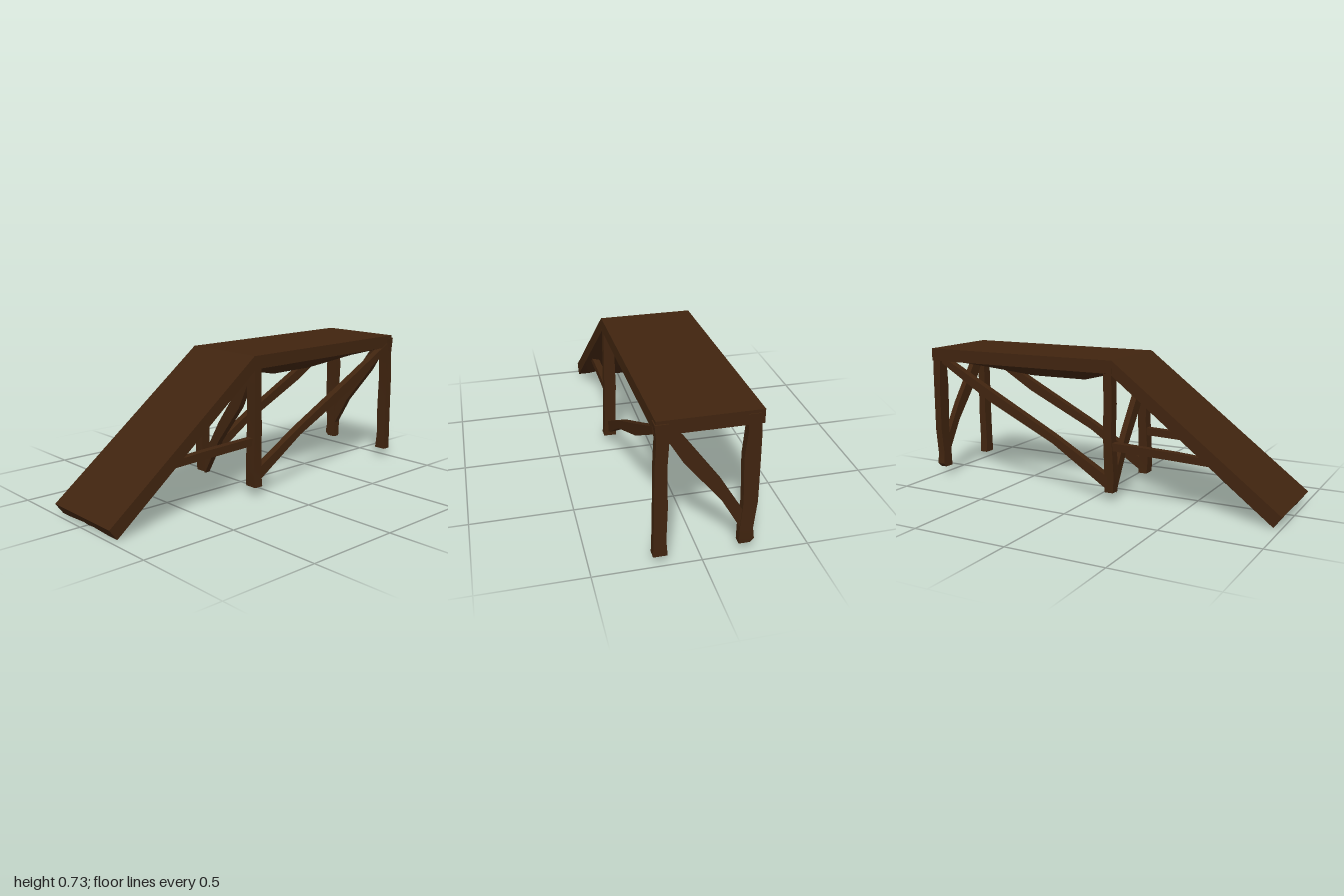
import * as THREE from 'three';
import { toCreasedNormals } from 'three/addons/utils/BufferGeometryUtils.js';

const wood = new THREE.MeshStandardMaterial({ color: 0x40240f });
wood.name = 'darkWood';

// Skin a list of equal-sized rings of [x, y, z] points and cap both ends.
function loft(name, rings) {
  const n = rings[0].length;
  const tris = [];
  for (let i = 0; i < rings.length - 1; i++) {
    for (let j = 0; j < n; j++) {
      const k = (j + 1) % n;
      const a = rings[i][j], b = rings[i][k], c = rings[i + 1][k], d = rings[i + 1][j];
      tris.push([a, b, c], [a, c, d]);
    }
  }
  const centre = (r) => [0, 1, 2].map((k) => r.reduce((s, p) => s + p[k], 0) / n);
  const first = rings[0], last = rings[rings.length - 1];
  const c0 = centre(first), c1 = centre(last);
  for (let j = 0; j < n; j++) {
    const k = (j + 1) % n;
    tris.push([c0, first[k], first[j]], [c1, last[j], last[k]]);
  }
  // A negative volume means the faces point inward, so turn them over.
  const v = (p) => new THREE.Vector3(...p);
  const volume = tris.reduce((s, [a, b, c]) => s + v(a).dot(v(b).cross(v(c))), 0);
  if (volume < 0) tris.forEach((t) => t.reverse());
  const geo = new THREE.BufferGeometry();
  geo.setAttribute('position', new THREE.Float32BufferAttribute(tris.flat(2), 3));
  const mesh = new THREE.Mesh(toCreasedNormals(geo, 0.5), wood);
  mesh.name = name;
  return mesh;
}

// Slightly skewed plan: front and back edges of the planking.
const frontZ = (x) => 0.23 - 0.016 * x;
const backZ = (x) => -0.237 - 0.0165 * x;

// Underside shape across the width: fraction across and share of the sag.
const across = [0, 0.14, 0.32, 0.5, 0.68, 0.86, 1];
const sagShare = [0, 0.4, 0.8, 1, 0.95, 0.5, 0];
const wornEdge = [0, 0, 0.01, 0.003, 0.01, 0, 0];

// Stations: [top x, top y, bottom x, bottom y, sag, wear]
function slab(name, stations) {
  return loft(name, stations.map(([tx, ty, bx, by, sag, wear = 0]) => [
    [tx, ty, frontZ(tx)],
    [tx, ty, backZ(tx)],
    ...across.map((f, i) => [
      bx,
      by - sag * sagShare[i] + wear * wornEdge[i],
      THREE.MathUtils.lerp(backZ(tx), frontZ(tx), f),
    ]),
  ]));
}

// Upright post. Stations: [y, x min, x max, z min, z max]
const post = (name, stations) => loft(name, stations.map(([y, x0, x1, z0, z1]) => [
  [x0, y, z0], [x1, y, z0], [x1, y, z1], [x0, y, z1],
]));

// Brace running along x. Stations: [x, y low, y high]
const sideBrace = (name, z, half, stations) => loft(name, stations.map(([x, y0, y1]) => [
  [x, y0, z - half], [x, y1, z - half], [x, y1, z + half], [x, y0, z + half],
]));

// Brace running along z. Stations: [z, y low, y high]
const crossBrace = (name, x, half, stations) => loft(name, stations.map(([z, y0, y1]) => [
  [x - half, y0, z], [x - half, y1, z], [x + half, y1, z], [x + half, y0, z],
]));

export function createModel() {
  const group = new THREE.Group();
  group.name = 'woodenRamp';

  // Level platform with a sagging underside
  const deck = [[-0.12, 0], [0.0, 0.04], [0.16, 0.08], [0.44, 0.08], [0.7, 0.05], [0.88, 0.02], [0.99, 0]];
  group.add(slab('deck', deck.map(([x, sag]) => [x, 0.727, x, 0.66, sag])));

  // Sloping ramp with a worn lower edge
  const slope = [[0, 0, 1], [0.33, 0.1], [0.57, 0.083], [0.78, 0.063], [1, 0]];
  group.add(slab('ramp', slope.map(([t, sag, wear]) => [
    -1 + 0.88 * t, 0.055 + 0.672 * t, -0.96 + 0.85 * t, 0.66 * t, sag, wear,
  ])));

  // Posts
  group.add(
    post('endPostFront', [
      [0.05, 0.95, 0.995, 0.158, 0.224], [0.13, 0.952, 0.995, 0.165, 0.222],
      [0.3, 0.953, 0.995, 0.16, 0.22], [0.5, 0.953, 0.995, 0.164, 0.219],
      [0.63, 0.948, 0.996, 0.157, 0.212], [0.712, 0.945, 0.996, 0.16, 0.219],
    ]),
    post('endPostBack', [
      [0.05, 0.95, 0.99, -0.222, -0.17], [0.07, 0.95, 0.992, -0.24, -0.17],
      [0.13, 0.952, 0.993, -0.232, -0.17], [0.27, 0.953, 0.993, -0.246, -0.18],
      [0.5, 0.953, 0.993, -0.245, -0.171], [0.63, 0.948, 0.994, -0.243, -0.183],
      [0.712, 0.945, 0.994, -0.235, -0.179],
    ]),
    post('middlePostFront', [
      [0.05, -0.122, -0.072, 0.175, 0.242], [0.13, -0.128, -0.075, 0.178, 0.236],
      [0.35, -0.116, -0.07, 0.172, 0.234], [0.5, -0.118, -0.072, 0.175, 0.232],
      [0.68, -0.115, -0.07, 0.17, 0.23],
    ]),
    post('middlePostBack', [
      [0.045, -0.122, -0.075, -0.222, -0.17], [0.13, -0.128, -0.075, -0.225, -0.172],
      [0.35, -0.116, -0.07, -0.23, -0.178], [0.5, -0.118, -0.072, -0.228, -0.172],
      [0.68, -0.115, -0.07, -0.228, -0.175],
    ]),
  );

  // Long diagonals and short ramp rails on both sides
  for (const [side, z] of [['Front', 0.198], ['Back', -0.205]]) {
    group.add(
      sideBrace('longBrace' + side, z, 0.02, [
        [-0.09, 0.06, 0.13], [0.23, 0.265, 0.312], [0.63, 0.455, 0.517], [0.96, 0.652, 0.69],
      ]),
      sideBrace('rampRail' + side, z, 0.018, [
        [-0.64, 0.25, 0.285], [-0.45, 0.257, 0.297], [-0.1, 0.268, 0.308],
      ]),
    );
  }

  // Diagonals across the width at both pairs of posts
  group.add(
    crossBrace('endCrossBrace', 0.972, 0.016, [
      [0.18, 0.66, 0.7], [0.09, 0.51, 0.632], [-0.08, 0.3, 0.397], [-0.18, 0.125, 0.23],
    ]),
    crossBrace('middleCrossBrace', -0.098, 0.016, [
      [0.18, 0.59, 0.68], [0.11, 0.445, 0.56], [-0.05, 0.238, 0.34], [-0.167, 0.035, 0.145], [-0.18, 0.045, 0.13],
    ]),
  );

  return group;
}
